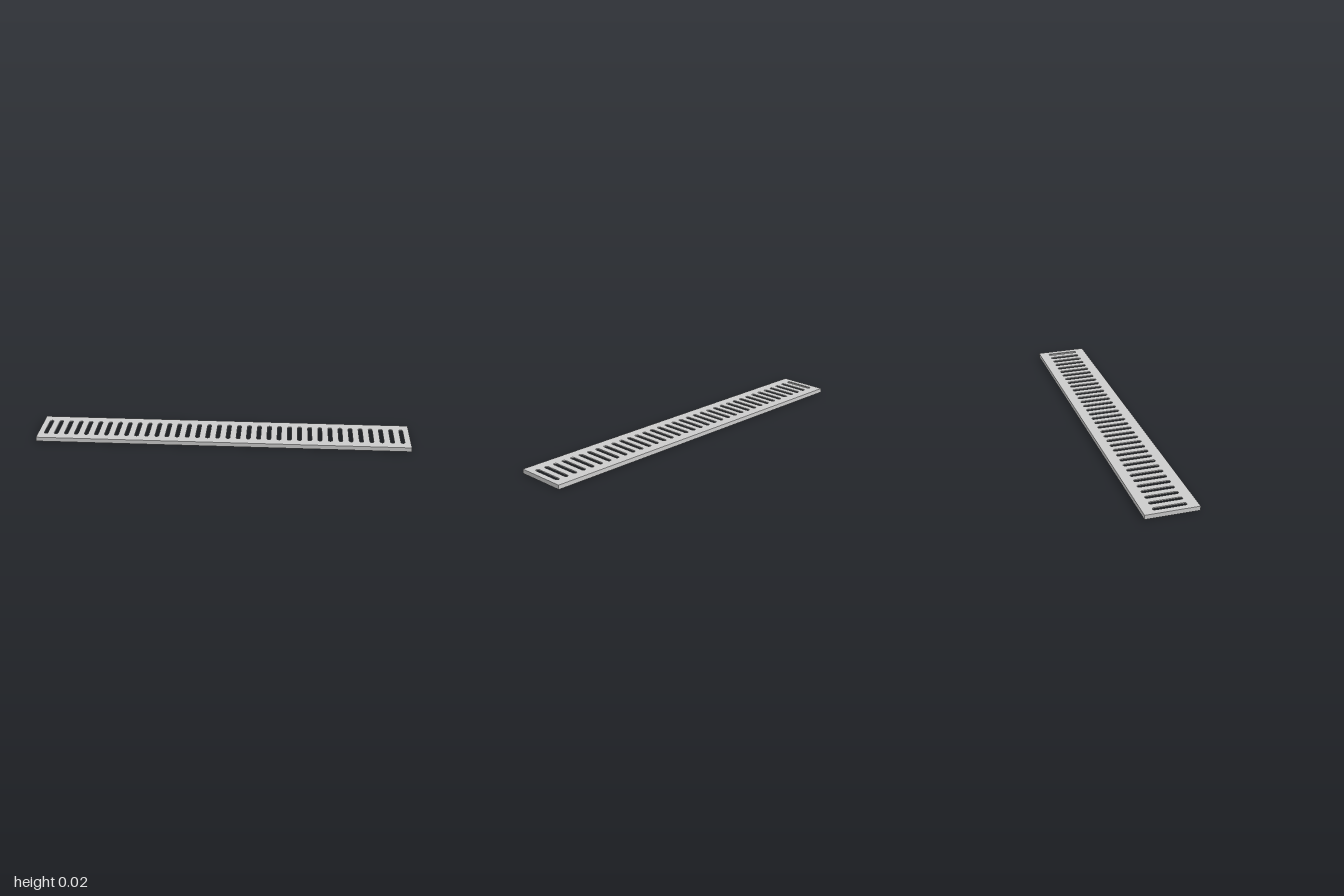
import * as THREE from 'three';

const LENGTH = 2, WIDTH = 0.276, HEIGHT = 0.023, SHEET = 0.006;
const SLOTS = 36, SLOT_REACH = 0.958, SLOT_HALF = 0.085, SLOT_R = 0.0105;

// Rectangle traced in plan
function rectangle(path, w, d) {
  path.moveTo(-w / 2, -d / 2);
  path.lineTo(w / 2, -d / 2);
  path.lineTo(w / 2, d / 2);
  path.lineTo(-w / 2, d / 2);
  path.closePath();
  return path;
}

// Long slot with rounded ends
function slot(x) {
  const path = new THREE.Path();
  const c = SLOT_HALF - SLOT_R;
  path.moveTo(x + SLOT_R, -c);
  path.lineTo(x + SLOT_R, c);
  path.absarc(x, c, SLOT_R, 0, Math.PI, false);
  path.lineTo(x - SLOT_R, -c);
  path.absarc(x, -c, SLOT_R, Math.PI, Math.PI * 2, false);
  return path;
}

// Extrude a plan shape upwards from height y
function slab(name, shape, y, depth, material) {
  const geometry = new THREE.ExtrudeGeometry(shape, { depth, bevelEnabled: false, curveSegments: 8 });
  geometry.rotateX(-Math.PI / 2);
  const mesh = new THREE.Mesh(geometry, material);
  mesh.position.y = y;
  mesh.name = name;
  return mesh;
}

export function createModel() {
  const group = new THREE.Group();
  group.name = 'ventGrille';
  const material = new THREE.MeshStandardMaterial({ color: 0xcccccc });

  // Slotted top sheet
  const sheet = rectangle(new THREE.Shape(), LENGTH, WIDTH);
  for (let i = 0; i < SLOTS; i++) {
    sheet.holes.push(slot(-SLOT_REACH + (2 * SLOT_REACH * i) / (SLOTS - 1)));
  }
  group.add(slab('slottedSheet', sheet, HEIGHT - SHEET, SHEET, material));

  // Turned-down rim, open underneath
  const rim = rectangle(new THREE.Shape(), LENGTH, WIDTH);
  rim.holes.push(rectangle(new THREE.Path(), LENGTH - 2 * SHEET, WIDTH - 2 * SHEET));
  group.add(slab('rim', rim, 0, HEIGHT - SHEET, material));

  return group;
}
